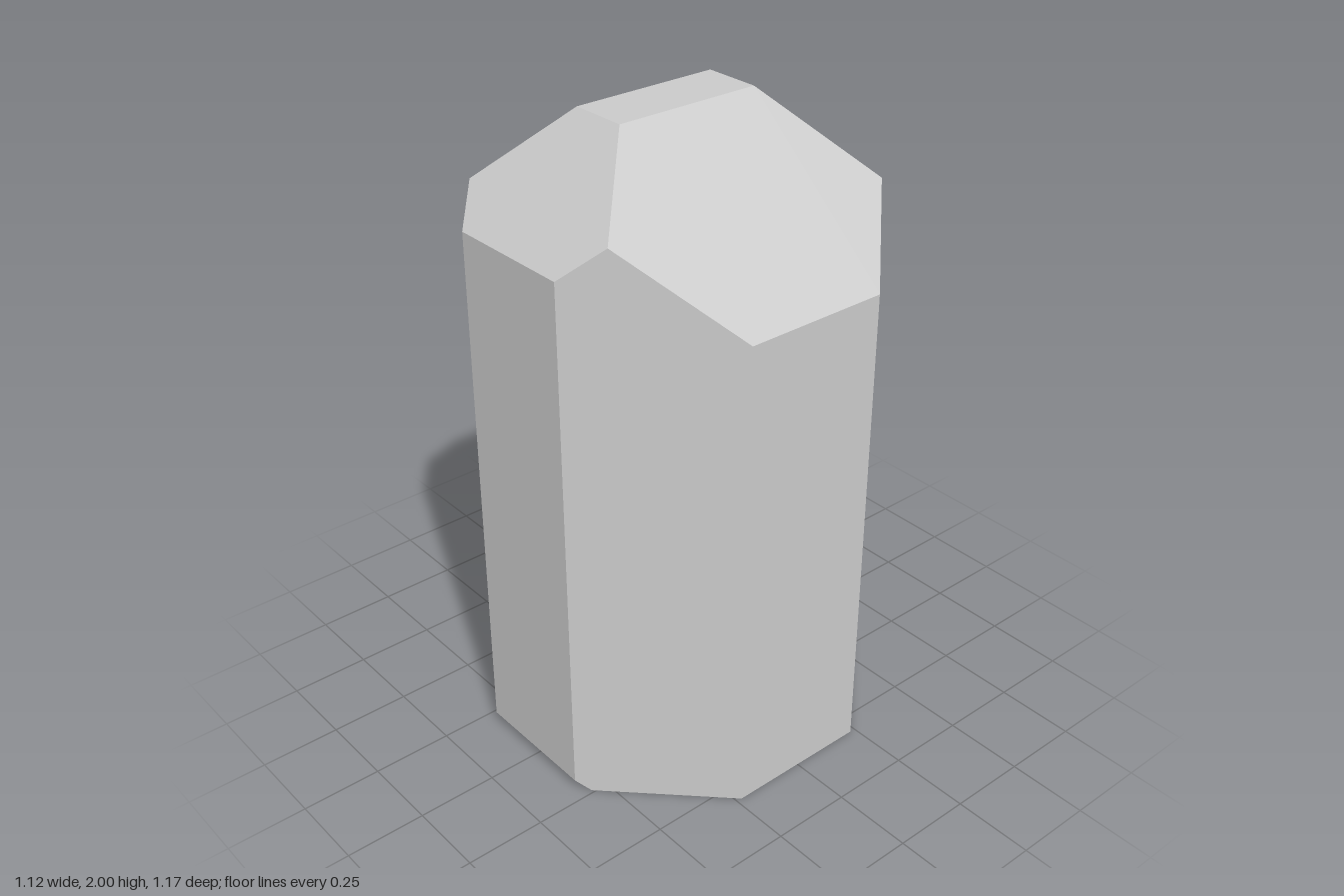
import * as THREE from 'three';
import { ConvexGeometry } from 'three/addons/geometries/ConvexGeometry.js';

const HALF_X = 0.56, HALF_Z = 0.587, DIAGONAL = 0.792; // octagonal prism limits
const TOP = 2, TOP_X = 0.09, CHAMFER = 0.035;

// Corners of one quarter of the crystal; topZ is where the flat top ends
function quarterCorners(sx, sz, topZ) {
  const ridgeX = (DIAGONAL + TOP_X - topZ) / 2; // roof hip meets the diagonal side
  const endX = DIAGONAL - HALF_Z, sideZ = DIAGONAL - HALF_X;
  return [
    // flat top and 45 degree roof
    [TOP_X, TOP, topZ],
    [ridgeX, TOP - (ridgeX - TOP_X), DIAGONAL - ridgeX],
    [HALF_X, TOP - (HALF_X - TOP_X), sideZ],
    [endX, TOP - (HALF_Z - topZ), HALF_Z],
    // base with a small chamfer along the end face
    [HALF_X, 0, sideZ],
    [endX, CHAMFER, HALF_Z],
    [endX + CHAMFER, 0, HALF_Z - CHAMFER],
  ].map(([x, y, z]) => new THREE.Vector3(x * sx, y, z * sz));
}

export function createModel() {
  const group = new THREE.Group();
  group.name = 'crystal';
  const corners = [];
  for (const sx of [1, -1]) {
    corners.push(...quarterCorners(sx, 1, 0.278), ...quarterCorners(sx, -1, 0.19));
  }
  const material = new THREE.MeshStandardMaterial({ color: 0xcccccc, flatShading: true });
  const body = new THREE.Mesh(new ConvexGeometry(corners), material);
  body.name = 'crystalBody';
  group.add(body);
  return group;
}
